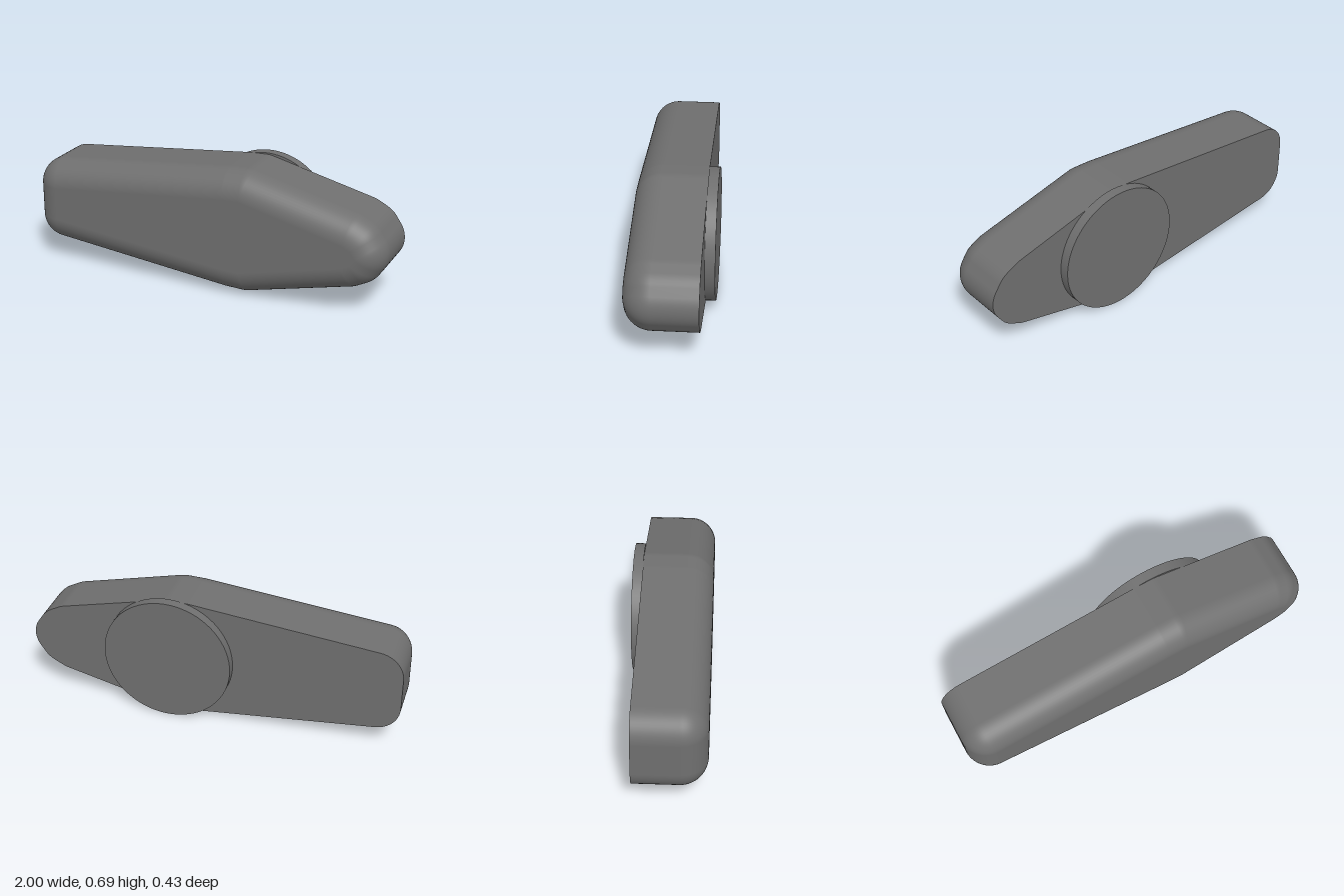
import * as THREE from 'three';

const MID_Y = 0.345;
const BACK_Z = -0.16, FRONT_Z = 0.213, ROUND = 0.14;

// Core polygon, counter-clockwise from the front; the body is this grown by ROUND.
const half = [[0.835, 0.037], [0.79, 0.06], [0.23, 0.197], [0.14, 0.194], [-0.86, 0.09]];
const core = [
  [0.86, 0], ...half,
  ...half.map(([x, y]) => [x, -y]).reverse(),
].map(([x, y]) => new THREE.Vector2(x, y + MID_Y));

// Outline samples: a core corner plus an outward normal swept around it.
function outlineSamples() {
  const samples = [];
  const n = core.length;
  const edgeAngle = (a, b) => Math.atan2(b.y - a.y, b.x - a.x) - Math.PI / 2;
  core.forEach((p, i) => {
    const a0 = edgeAngle(core[(i + n - 1) % n], p);
    let a1 = edgeAngle(p, core[(i + 1) % n]);
    while (a1 < a0) a1 += Math.PI * 2;
    const steps = Math.max(4, Math.ceil((a1 - a0) / 0.13));
    for (let k = 0; k <= steps; k++) {
      const a = a0 + ((a1 - a0) * k) / steps;
      samples.push({ p, nx: Math.cos(a), ny: Math.sin(a) });
    }
  });
  return samples;
}

// Straight wall followed by a quarter-round front edge.
function shellGeometry(samples) {
  const rings = [{ z: BACK_Z, t: 0 }];
  const arcSteps = 14;
  for (let k = 0; k <= arcSteps; k++) {
    const t = (k / arcSteps) * Math.PI / 2;
    rings.push({ z: FRONT_Z - ROUND + ROUND * Math.sin(t), t });
  }
  const positions = [], normals = [], index = [];
  const n = samples.length;
  rings.forEach(({ z, t }, j) => {
    const c = Math.cos(t);
    samples.forEach(({ p, nx, ny }, i) => {
      positions.push(p.x + nx * ROUND * c, p.y + ny * ROUND * c, z);
      normals.push(nx * c, ny * c, Math.sin(t));
      if (j === rings.length - 1) return;
      const a = j * n + i, b = j * n + (i + 1) % n;
      index.push(a, b, b + n, a, b + n, a + n);
    });
  });
  const geo = new THREE.BufferGeometry();
  geo.setAttribute('position', new THREE.Float32BufferAttribute(positions, 3));
  geo.setAttribute('normal', new THREE.Float32BufferAttribute(normals, 3));
  geo.setIndex(index);
  return geo;
}

export function createModel() {
  const group = new THREE.Group();
  group.name = 'handle';
  const material = new THREE.MeshStandardMaterial({ color: 0x6f6f6f });
  const add = (name, geometry, parent) => {
    const mesh = new THREE.Mesh(geometry, material);
    mesh.name = name;
    parent.add(mesh);
    return mesh;
  };

  // Grip body: rounded shell, flat front face and flat back face
  const body = new THREE.Group();
  body.name = 'gripBody';
  group.add(body);
  const samples = outlineSamples();
  add('gripShell', shellGeometry(samples), body);
  add('frontFace', new THREE.ShapeGeometry(new THREE.Shape(core)), body).position.z = FRONT_Z;
  const outline = samples.map(({ p, nx, ny }) => new THREE.Vector2(-(p.x + nx * ROUND), p.y + ny * ROUND));
  const backFace = add('backFace', new THREE.ShapeGeometry(new THREE.Shape(outline)), body);
  backFace.rotation.y = Math.PI;
  backFace.position.z = BACK_Z;

  // Round mounting disc on the back
  const disc = add('mountingDisc', new THREE.CylinderGeometry(0.345, 0.345, 0.053, 72), group);
  disc.rotation.x = Math.PI / 2;
  disc.position.set(0.235, MID_Y, -0.1865);

  return group;
}
